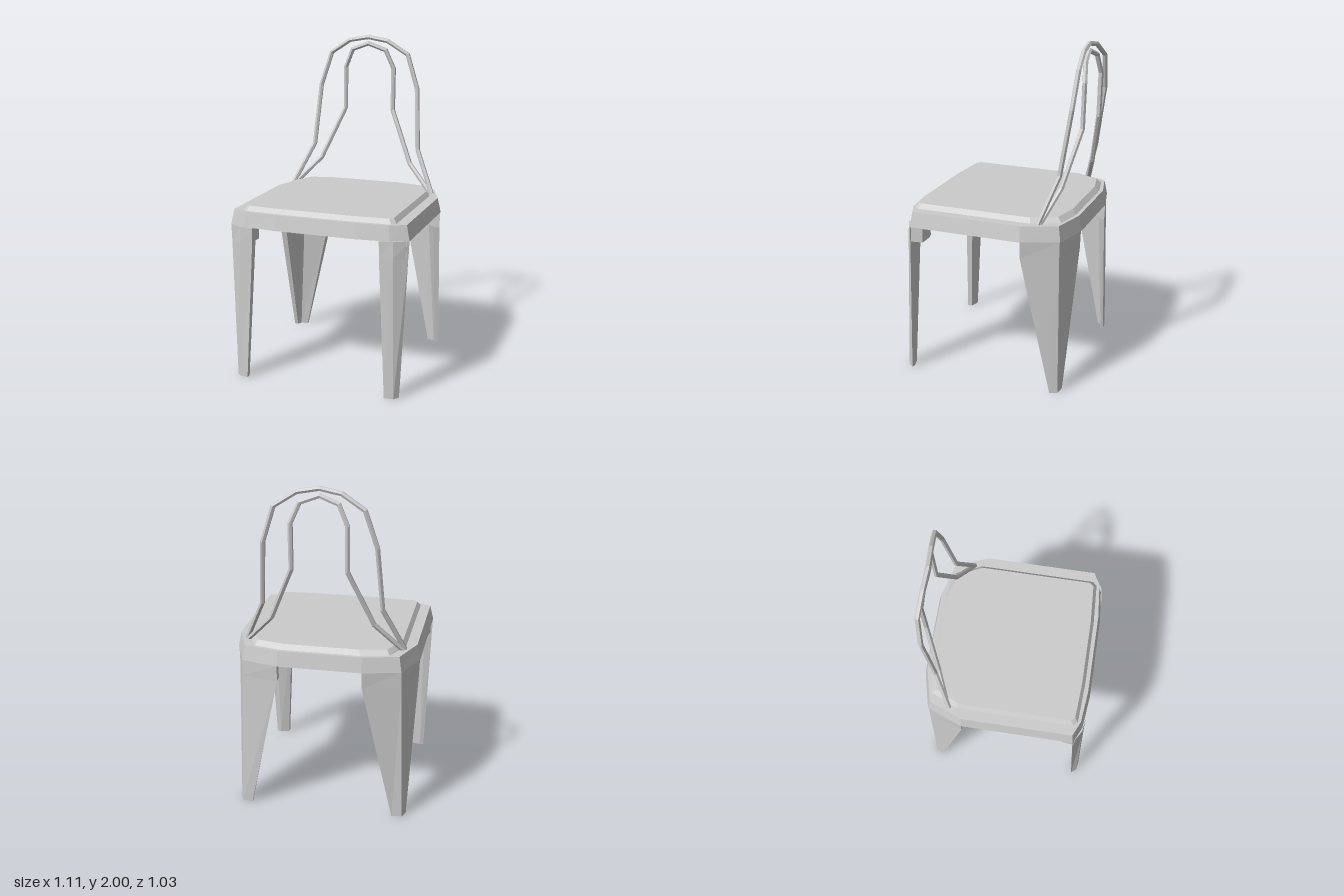
import * as THREE from 'three';

const grey = new THREE.MeshStandardMaterial({ color: 0xcccccc, flatShading: true, side: THREE.DoubleSide });

// Skin over horizontal [x, z] rings listed from bottom to top, capped at both ends.
function loft(name, layers) {
  const flat = layers[0].ring.map(([x, z]) => new THREE.Vector2(x, -z));
  const flip = THREE.ShapeUtils.isClockWise(flat);
  const rings = layers.map(({ y, ring }) => {
    const pts = ring.map(([x, z]) => new THREE.Vector3(x, y, z));
    return flip ? pts.reverse() : pts;
  });
  const tris = [];
  for (let k = 0; k + 1 < rings.length; k++) {
    const lo = rings[k], hi = rings[k + 1], n = lo.length;
    for (let i = 0; i < n; i++) {
      const j = (i + 1) % n;
      tris.push(lo[i], lo[j], hi[j], lo[i], hi[j], hi[i]);
    }
  }
  const cap = (ring, up) => {
    const outline = ring.map((p) => new THREE.Vector2(p.x, -p.z));
    for (const [a, b, c] of THREE.ShapeUtils.triangulateShape(outline, [])) {
      if (up) tris.push(ring[a], ring[b], ring[c]);
      else tris.push(ring[a], ring[c], ring[b]);
    }
  };
  cap(rings[0], false);
  cap(rings[rings.length - 1], true);
  const geometry = new THREE.BufferGeometry().setFromPoints(tris);
  geometry.computeVertexNormals();
  const mesh = new THREE.Mesh(geometry, grey);
  mesh.name = name;
  return mesh;
}

// Half outline (+x side, back to front) completed across x = 0.
const symmetric = (half) => [...half, ...half.map(([x, z]) => [-x, z]).reverse()];

const mirrored = (layers, side) =>
  layers.map(({ y, ring }) => ({ y, ring: ring.map(([x, z]) => [x * side, z]) }));

// Straight-segment path whose samples land exactly on its corners.
class Polyline extends THREE.Curve {
  constructor(points) {
    super();
    this.points = points;
  }
  getPoint(t, target = new THREE.Vector3()) {
    const last = this.points.length - 1;
    const i = Math.min(Math.floor(t * last), last - 1);
    return target.lerpVectors(this.points[i], this.points[i + 1], t * last - i);
  }
  getUtoTmapping(u) {
    return u;
  }
}

// Bent rod, given from its left foot to its crown and mirrored.
function hoop(name, half) {
  const points = [...half, ...half.slice(0, -1).reverse().map(([x, y, z]) => [-x, y, z])]
    .map((p) => new THREE.Vector3(...p));
  const mesh = new THREE.Mesh(new THREE.TubeGeometry(new Polyline(points), points.length - 1, 0.015, 6), grey);
  mesh.name = name;
  return mesh;
}

export function createModel() {
  const chair = new THREE.Group();
  chair.name = 'chair';

  // Seat with slightly inward-sloping sides
  const seatBottom = symmetric([[0.25, -0.515], [0.47, -0.46], [0.553, -0.245], [0.553, 0.44], [0.45, 0.485], [0.25, 0.505]]);
  const seatTop = symmetric([[0.245, -0.497], [0.455, -0.445], [0.533, -0.24], [0.533, 0.43], [0.44, 0.47], [0.245, 0.488]]);
  chair.add(loft('seat', [{ y: 0.94, ring: seatBottom }, { y: 1.03, ring: seatTop }]));

  // Thin raised cushion
  const padBottom = symmetric([[0.24, -0.48], [0.4, -0.445], [0.475, -0.28], [0.475, 0.43], [0.45, 0.455], [0.2, 0.468]]);
  const padTop = symmetric([[0.22, -0.45], [0.38, -0.415], [0.45, -0.27], [0.45, 0.41], [0.43, 0.432], [0.2, 0.445]]);
  chair.add(loft('cushion', [{ y: 1.025, ring: padBottom }, { y: 1.058, ring: padTop }]));

  // Legs: folded angle sections tapering to the feet
  const backTop = [[0.55, -0.245], [0.47, -0.455], [0.25, -0.512], [0.26, -0.475], [0.43, -0.42], [0.51, -0.245]];
  const backKnee = [[0.547, -0.245], [0.472, -0.456], [0.25, -0.508], [0.26, -0.47], [0.43, -0.42], [0.507, -0.245]];
  const backFoot = [[0.513, -0.42], [0.495, -0.465], [0.432, -0.472], [0.432, -0.455], [0.475, -0.445], [0.49, -0.42]];
  const backLeg = [{ y: 0, ring: backFoot }, { y: 0.84, ring: backKnee }, { y: 0.94, ring: backTop }];
  const frontTop = [[0.553, 0.44], [0.47, 0.488], [0.39, 0.497], [0.39, 0.45], [0.5, 0.435]];
  const frontKnee = [[0.548, 0.442], [0.472, 0.492], [0.392, 0.498], [0.392, 0.452], [0.5, 0.438]];
  const frontFoot = [[0.515, 0.475], [0.49, 0.507], [0.435, 0.515], [0.435, 0.485], [0.49, 0.47]];
  const frontLeg = [{ y: 0, ring: frontFoot }, { y: 0.84, ring: frontKnee }, { y: 0.94, ring: frontTop }];

  // Brackets joining each leg to the underside of the seat
  const backRing = [[0.54, -0.25], [0.465, -0.445], [0.25, -0.505], [0.25, -0.46], [0.3, -0.415], [0.46, -0.26]];
  const frontRing = [[0.54, 0.45], [0.41, 0.47], [0.4, 0.38], [0.44, 0.37], [0.53, 0.37]];
  const bracket = (ring) => [{ y: 0.845, ring }, { y: 0.94, ring }];

  for (const [label, side] of [['Left', 1], ['Right', -1]]) {
    chair.add(
      loft('backLeg' + label, mirrored(backLeg, side)),
      loft('frontLeg' + label, mirrored(frontLeg, side)),
      loft('backBracket' + label, mirrored(bracket(backRing), side)),
      loft('frontBracket' + label, mirrored(bracket(frontRing), side)),
    );
  }

  // Backrest of two nested rods
  chair.add(
    hoop('outerBackHoop', [[0.47, 1.03, -0.325], [0.35, 1.29, -0.41], [0.323, 1.67, -0.467],
      [0.255, 1.88, -0.48], [0.125, 1.963, -0.468], [0, 1.985, -0.46]]),
    hoop('innerBackHoop', [[0.46, 1.03, -0.335], [0.3, 1.2, -0.405], [0.16, 1.525, -0.48],
      [0.16, 1.79, -0.487], [0.11, 1.905, -0.475], [0, 1.945, -0.462]]),
  );
  return chair;
}
